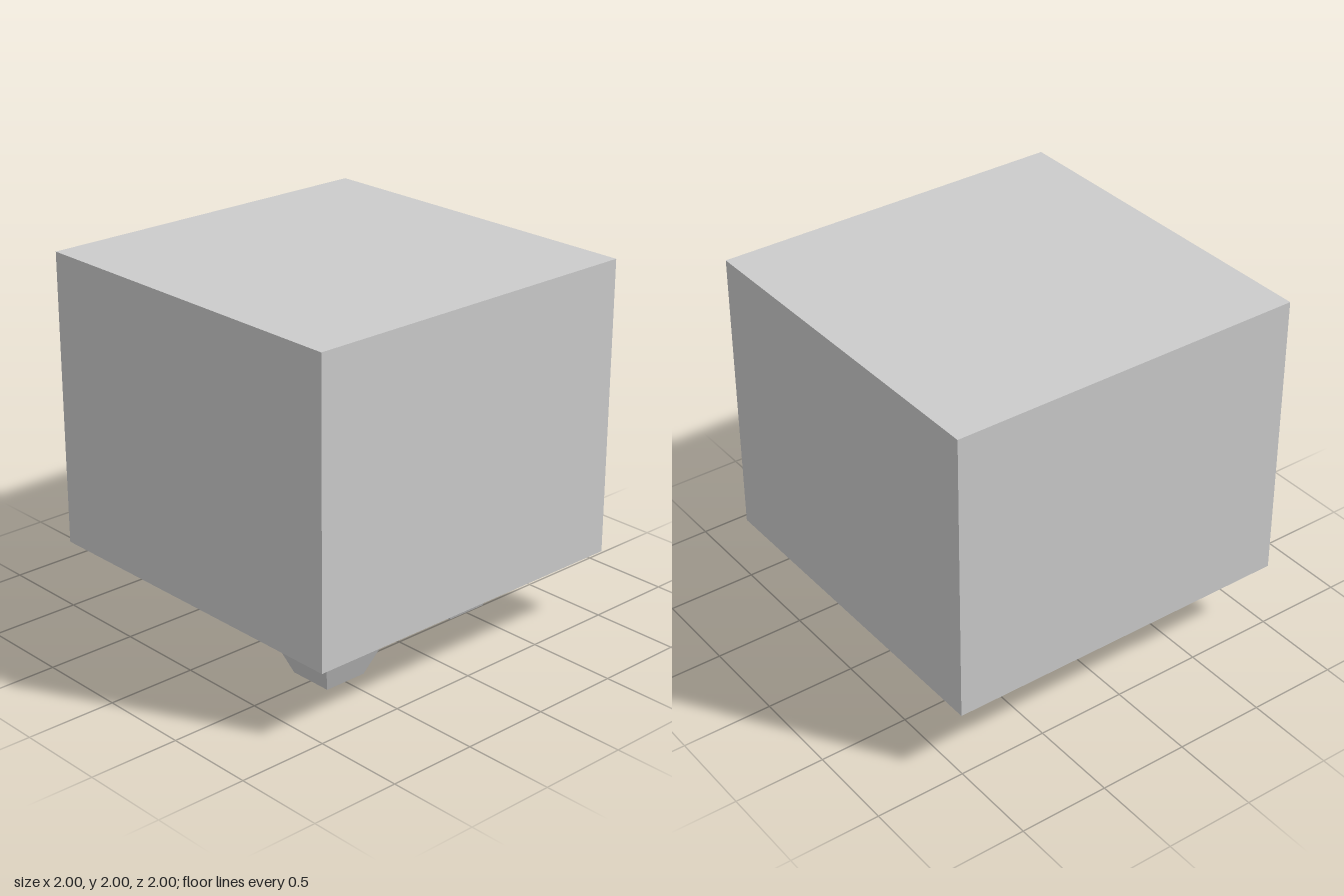
import * as THREE from 'three';

const BODY_BOTTOM = 0.378;

// Square two-tier foot: four-sided lathe, steep below and flared above
function footGeometry() {
  const tiers = [[0.125, 0], [0.2, 0.19], [0.375, BODY_BOTTOM]]; // half width, height
  const profile = [new THREE.Vector2(0, 0)];
  for (const [half, y] of tiers) profile.push(new THREE.Vector2(half * Math.SQRT2, y));
  const geometry = new THREE.LatheGeometry(profile, 4, Math.PI / 4).toNonIndexed();
  geometry.computeVertexNormals();
  return geometry;
}

export function createModel() {
  const model = new THREE.Group();
  model.name = 'footedBlock';
  const material = new THREE.MeshStandardMaterial({ color: 0xcccccc, flatShading: true });

  // Main block
  const height = 2 - BODY_BOTTOM;
  const body = new THREE.Mesh(new THREE.BoxGeometry(2, height, 2), material);
  body.name = 'body';
  body.position.y = BODY_BOTTOM + height / 2;
  model.add(body);

  // Three feet, set unevenly under the block
  const geometry = footGeometry();
  const feet = [
    ['frontRightFoot', -0.5, 0.5],
    ['frontLeftFoot', 0.5, 0.375],
    ['backFoot', 0.125, -0.5],
  ];
  for (const [name, x, z] of feet) {
    const foot = new THREE.Mesh(geometry, material);
    foot.name = name;
    foot.position.set(x, 0, z);
    model.add(foot);
  }
  return model;
}
